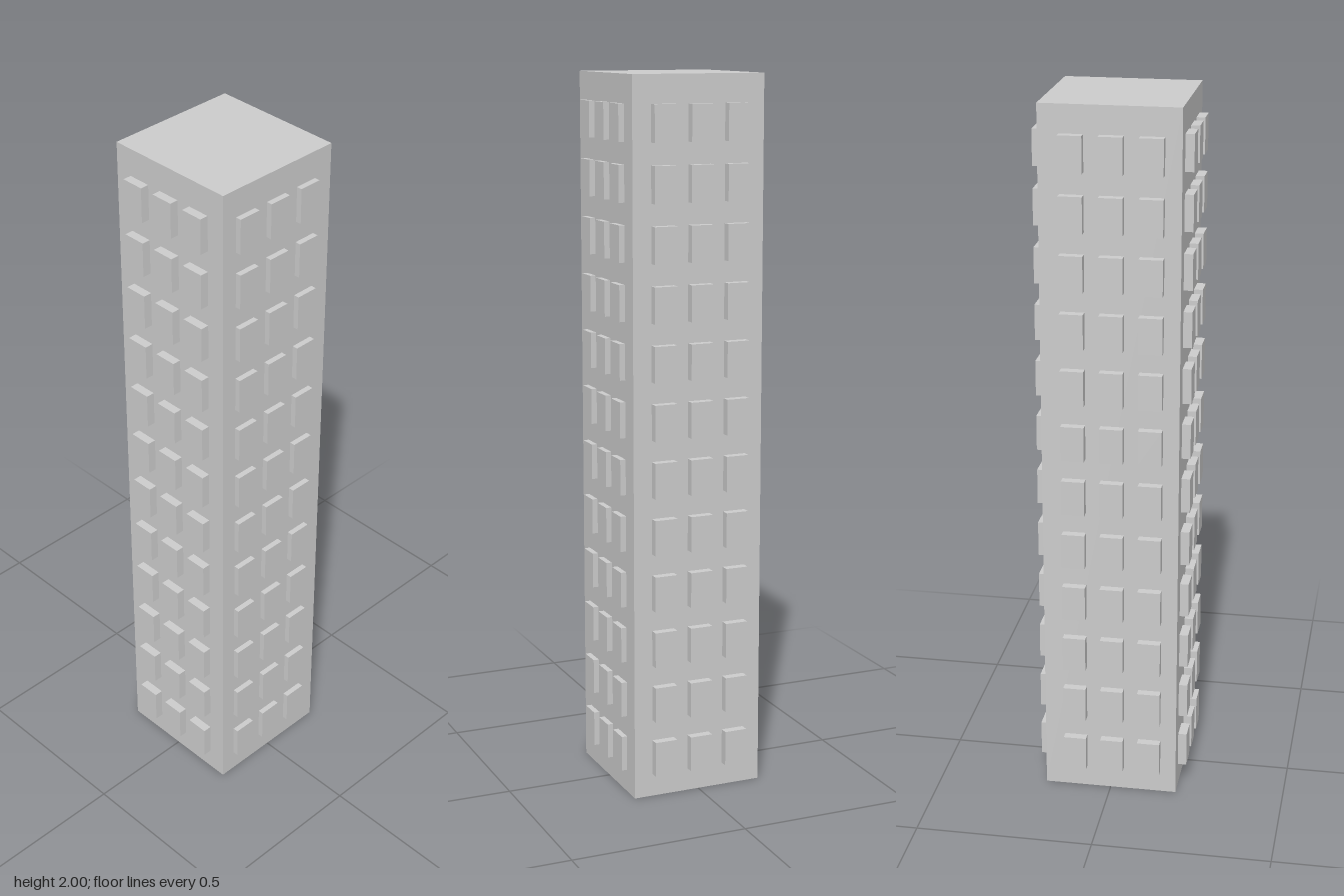
import * as THREE from 'three';

export function createModel() {
  const model = new THREE.Group();
  model.name = 'towerBlock';
  const material = new THREE.MeshStandardMaterial({ color: 0xcccccc, flatShading: true });

  function addBox(parent, name, size, position) {
    const mesh = new THREE.Mesh(new THREE.BoxGeometry(...size), material);
    mesh.name = name;
    mesh.position.set(...position);
    parent.add(mesh);
  }

  // Main shaft
  addBox(model, 'tower', [0.381, 2, 0.382], [0, 1, 0.003]);

  // Projecting windows: 12 floors of 3 on every side
  const floors = 12, firstFloor = 0.115, floorStep = 0.1598;
  const width = 0.065, height = 0.1, depth = 0.05;
  const sides = [
    { name: 'frontWindows', alongX: true, outer: 0.21, dir: 1, middle: -0.006 },
    { name: 'backWindows', alongX: true, outer: -0.213, dir: -1, middle: -0.006 },
    { name: 'leftWindows', alongX: false, outer: 0.215, dir: 1, middle: 0.001 },
    { name: 'rightWindows', alongX: false, outer: -0.215, dir: -1, middle: 0.001 },
  ];
  for (const { name, alongX, outer, dir, middle } of sides) {
    const group = new THREE.Group();
    group.name = name;
    const out = outer - dir * depth / 2;
    for (let floor = 0; floor < floors; floor++) {
      const y = firstFloor + floor * floorStep;
      for (let column = -1; column <= 1; column++) {
        const along = middle + column * 0.107;
        addBox(group, 'window',
          alongX ? [width, height, depth] : [depth, height, width],
          alongX ? [along, y, out] : [out, y, along]);
      }
    }
    model.add(group);
  }
  return model;
}
